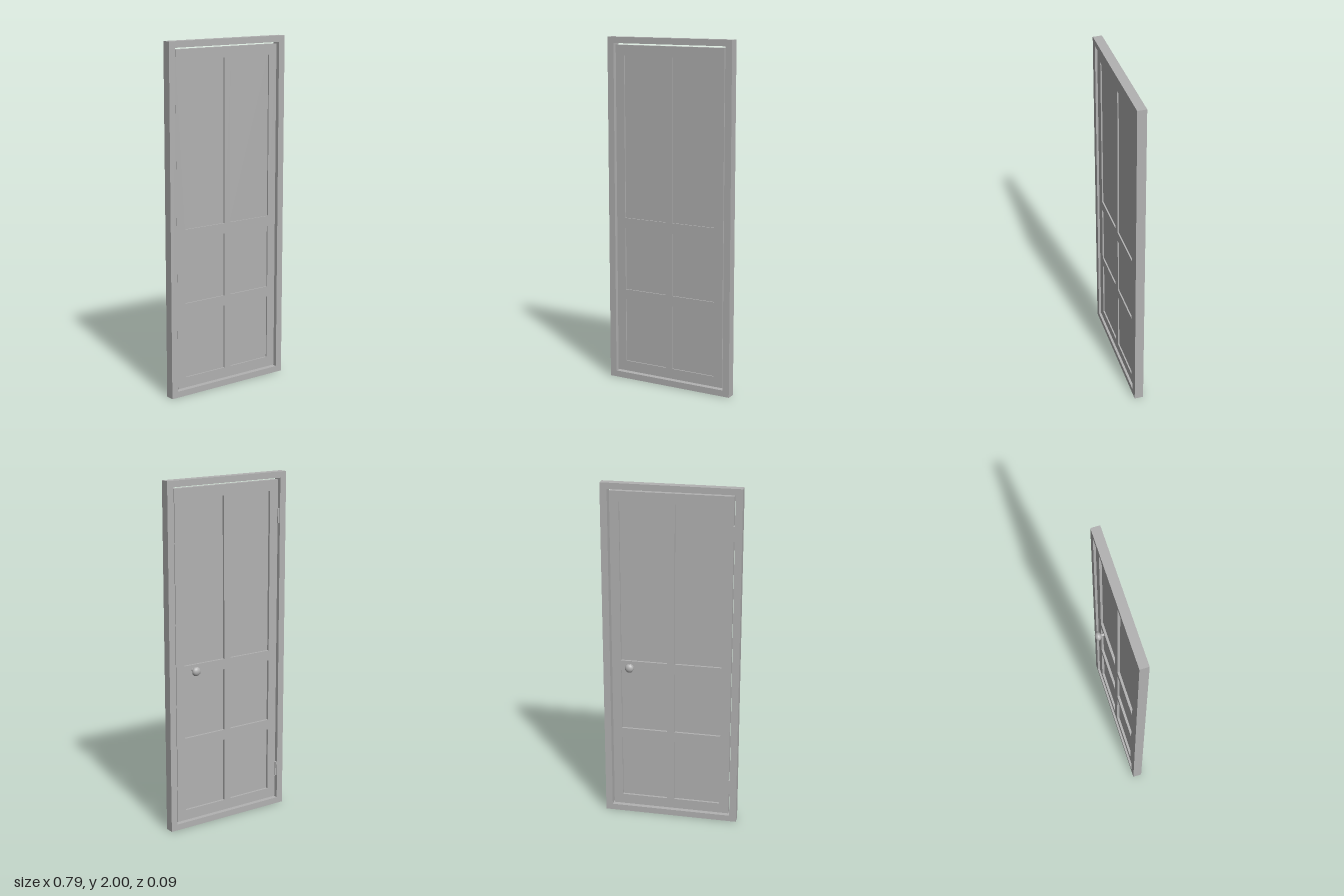
import * as THREE from 'three';

const grey = new THREE.MeshStandardMaterial({ color: 0xb2b2b2 });
grey.name = 'paintedGrey';

function rect(target, x0, x1, y0, y1) {
  target.moveTo(x0, y0);
  target.lineTo(x1, y0);
  target.lineTo(x1, y1);
  target.lineTo(x0, y1);
  target.closePath();
  return target;
}

// Flat board between z0 and z1 with rectangular openings
function board(name, outer, openings, z0, z1) {
  const shape = rect(new THREE.Shape(), ...outer);
  for (const o of openings) shape.holes.push(rect(new THREE.Path(), ...o));
  const geo = new THREE.ExtrudeGeometry(shape, { depth: z1 - z0, bevelEnabled: false });
  geo.translate(0, 0, z0);
  const mesh = new THREE.Mesh(geo, grey);
  mesh.name = name;
  return mesh;
}

export function createModel() {
  const model = new THREE.Group();
  model.name = 'panelDoor';

  // Surrounding frame, with a narrow clearance around the leaf
  model.add(board('doorFrame', [-0.395, 0.395, 0, 2], [[-0.355, 0.355, 0.036, 1.965]], -0.005, 0.047));

  // Six panels: two columns, three rows
  const rows = [[0.105, 0.48], [0.54, 0.905], [0.965, 1.895]];
  const columns = [[-0.292, -0.022], [0.022, 0.292]];
  const openings = columns.flatMap(c => rows.map(r => [...c, ...r]));

  // Stiles and rails
  model.add(board('doorLeaf', [-0.347, 0.345, 0.045, 1.955], openings, 0.006, 0.036));

  // Recessed panels
  for (const [x0, x1, y0, y1] of openings) {
    const panel = new THREE.Mesh(new THREE.BoxGeometry(x1 - x0, y1 - y0, 0.008), grey);
    panel.position.set((x0 + x1) / 2, (y0 + y1) / 2, 0.024);
    panel.name = 'recessedPanel';
    model.add(panel);
  }

  // Hinges bridging the gap on the back
  for (const y of [0.222, 1.75]) {
    const hinge = new THREE.Mesh(new THREE.BoxGeometry(0.014, 0.084, 0.016), grey);
    hinge.position.set(-0.351, y, 0.006);
    hinge.name = 'hinge';
    model.add(hinge);
  }

  // Knob on the back: stem and flattened ball with a thin band
  const knob = new THREE.Group();
  knob.name = 'doorKnob';
  const stem = new THREE.Mesh(new THREE.CylinderGeometry(0.008, 0.01, 0.022, 20), grey);
  stem.position.y = 0.007;
  stem.name = 'knobStem';
  const ball = new THREE.Mesh(new THREE.SphereGeometry(0.026, 24, 16), grey);
  ball.scale.y = 0.73;
  ball.position.y = 0.035;
  ball.name = 'knobBall';
  const band = new THREE.Mesh(new THREE.CylinderGeometry(0.0265, 0.0265, 0.005, 24), grey);
  band.position.y = 0.035;
  band.name = 'knobBand';
  knob.add(stem, ball, band);
  knob.rotation.x = -Math.PI / 2;
  knob.position.set(0.235, 0.935, 0.006);
  model.add(knob);

  return model;
}
